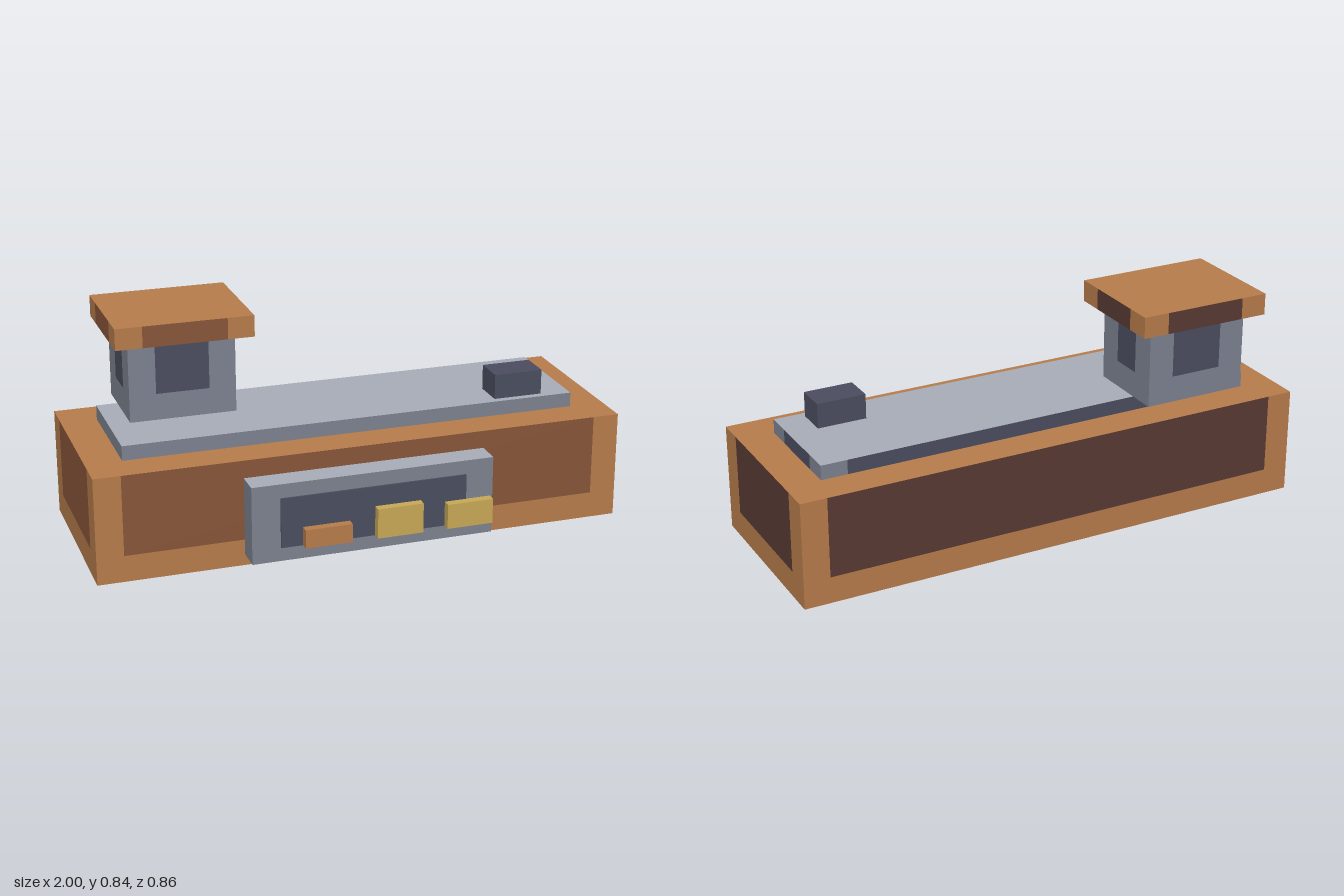
import * as THREE from 'three';

const paint = (name, color) => {
  const m = new THREE.MeshStandardMaterial({ color, side: THREE.DoubleSide });
  m.name = name;
  return m;
};

export function createModel() {
  const orange = paint('orangeWood', 0xb87d4b);
  const brown = paint('brownWood', 0x89563a);
  const darkBrown = paint('darkBrownWood', 0x5a3a34);
  const lightGrey = paint('lightGrey', 0xaaaeb9);
  const grey = paint('grey', 0x7d8391);
  const slate = paint('slate', 0x4b4e60);
  const yellow = paint('yellow', 0xc9aa57);

  const model = new THREE.Group();
  model.name = 'marketCounter';

  const plate = (parent, name, w, h, x, y, mat) => {
    const mesh = new THREE.Mesh(new THREE.PlaneGeometry(w, h), mat);
    mesh.name = name;
    mesh.position.set(x, y, 0);
    parent.add(mesh);
  };

  // One wall: a border of width m around a panel that reaches the top edge
  const wall = (name, w, h, frame, panel, m) => {
    const g = new THREE.Group();
    g.name = name;
    if (panel === frame || m === 0) {
      plate(g, name + 'Face', w, h, 0, 0, panel);
      return g;
    }
    const sill = h > m ? m : 0;
    for (const s of [-1, 1]) plate(g, name + 'Post', m, h, s * (w - m) / 2, 0, frame);
    if (sill) plate(g, name + 'Sill', w - 2 * m, sill, 0, (sill - h) / 2, frame);
    plate(g, name + 'Panel', w - 2 * m, h - sill, 0, sill / 2, panel);
    return g;
  };

  // A shell open underneath; panels are ordered front, left (+x), back, right (-x)
  const shell = (name, [x0, x1], [y0, y1], [z0, z1], frame, top, panels, m = 0.1) => {
    const g = new THREE.Group();
    g.name = name;
    const w = x1 - x0, h = y1 - y0, d = z1 - z0;
    g.position.set((x0 + x1) / 2, (y0 + y1) / 2, (z0 + z1) / 2);
    ['front', 'left', 'back', 'right'].forEach((side, i) => {
      const [width, reach] = i % 2 ? [d, w / 2] : [w, d / 2];
      const a = i * Math.PI / 2;
      const part = wall(side + 'Wall', width, h, frame, panels[i], m);
      part.rotation.y = a;
      part.position.set(Math.sin(a) * reach, 0, Math.cos(a) * reach);
      g.add(part);
    });
    const lid = new THREE.Group();
    lid.rotation.x = -Math.PI / 2;
    lid.position.y = h / 2;
    plate(lid, 'topFace', w, d, 0, 0, top);
    g.add(lid);
    model.add(g);
  };

  const box = (name, [x0, x1], [y0, y1], [z0, z1], mat) => {
    const mesh = new THREE.Mesh(new THREE.BoxGeometry(x1 - x0, y1 - y0, z1 - z0), mat);
    mesh.name = name;
    mesh.position.set((x0 + x1) / 2, (y0 + y1) / 2, (z0 + z1) / 2);
    model.add(mesh);
  };

  // Main body, counter slab, tower and its roof
  const wood = [brown, darkBrown, darkBrown, brown];
  shell('body', [-1, 1], [0, 0.405], [-0.405, 0.298], orange, orange, wood);
  shell('counterSlab', [-0.865, 0.865], [0.405, 0.46], [-0.27, 0.163], grey, lightGrey,
    [grey, slate, slate, grey]);
  shell('tower', [-0.785, -0.385], [0.46, 0.757], [-0.377, -0.053], grey, lightGrey,
    [slate, slate, slate, slate]);
  shell('roof', [-0.84, -0.325], [0.758, 0.839], [-0.431, 0], orange, orange, wood);

  // Display window on the front, with its recessed-looking dark pane
  shell('displayFrame', [-0.459, 0.457], [0.042, 0.338], [0.295, 0.393], grey, lightGrey,
    [grey, slate, slate, grey], 0);
  box('displayPane', [-0.353, 0.351], [0.095, 0.285], [0.392, 0.4], slate);

  // Goods on show, and the small box on the counter
  box('orangeGoods', [-0.272, -0.096], [0.095, 0.166], [0.399, 0.432], orange);
  box('tallYellowGoods', [0, 0.174], [0.095, 0.209], [0.399, 0.432], yellow);
  box('shortYellowGoods', [0.268, 0.444], [0.095, 0.19], [0.399, 0.432], yellow);
  box('counterBox', [0.566, 0.754], [0.46, 0.555], [0.015, 0.136], slate);

  return model;
}
